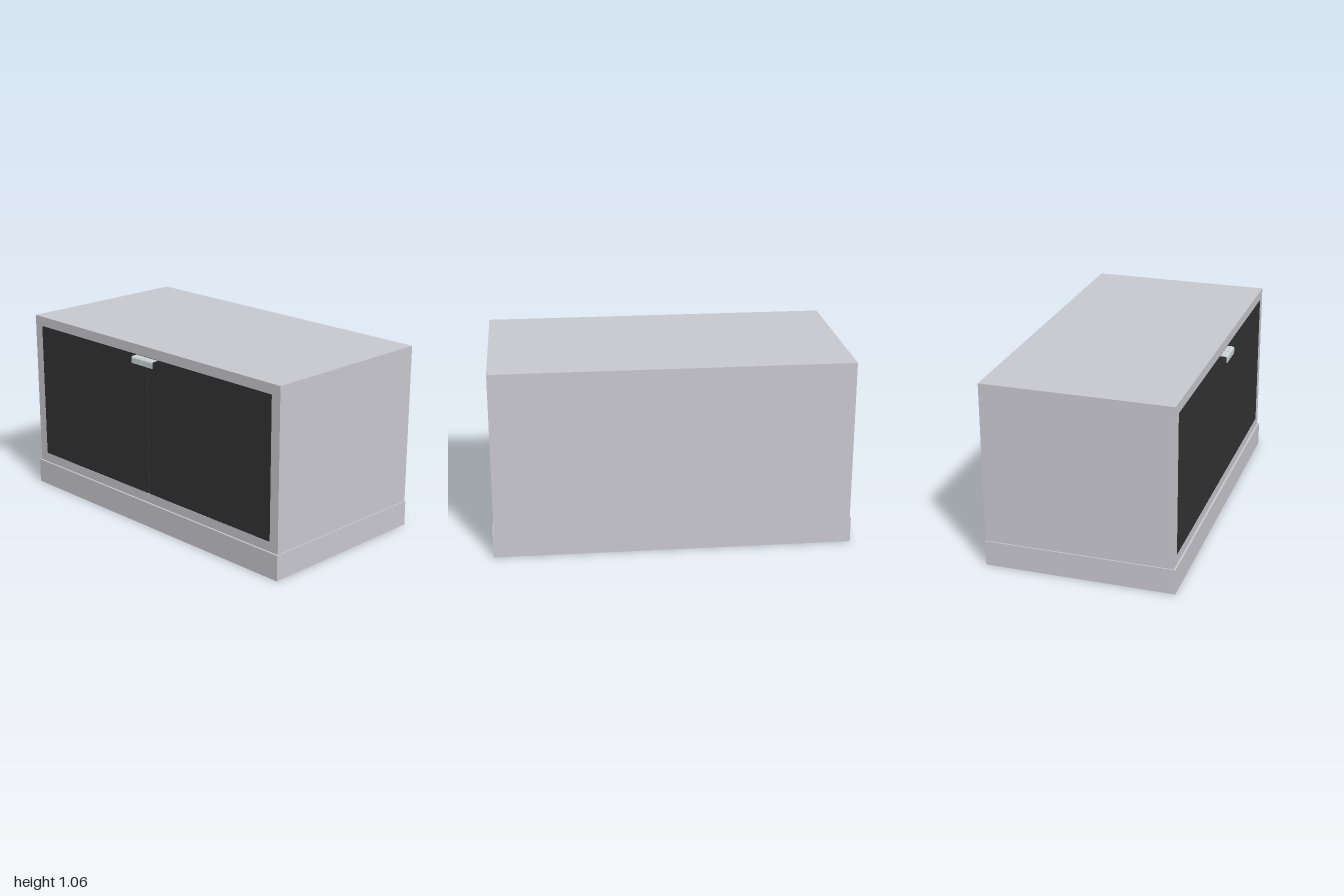
import * as THREE from 'three';

const mat = (name, color) => {
  const m = new THREE.MeshStandardMaterial({ color });
  m.name = name;
  return m;
};

// Rectangle with rounded corners
function roundedRect(x0, y0, x1, y1, r) {
  const s = new THREE.Shape();
  s.moveTo(x0 + r, y0);
  s.lineTo(x1 - r, y0);
  s.quadraticCurveTo(x1, y0, x1, y0 + r);
  s.lineTo(x1, y1 - r);
  s.quadraticCurveTo(x1, y1, x1 - r, y1);
  s.lineTo(x0 + r, y1);
  s.quadraticCurveTo(x0, y1, x0, y1 - r);
  s.lineTo(x0, y0 + r);
  s.quadraticCurveTo(x0, y0, x0 + r, y0);
  return s;
}

function rect(x0, y0, x1, y1, Type = THREE.Shape) {
  return new Type([[x0, y0], [x1, y0], [x1, y1], [x0, y1]].map(p => new THREE.Vector2(...p)));
}

export function createModel() {
  const model = new THREE.Group();
  model.name = 'cabinet';
  const grey = mat('casing grey', 0xc8c8cf);
  grey.side = THREE.DoubleSide; // the plinth walls are thin sheets
  const dark = mat('door charcoal', 0x323232);
  const metal = mat('handle metal', 0xcad4d4);

  const add = (name, geometry, material) => {
    const mesh = new THREE.Mesh(geometry, material);
    mesh.name = name;
    model.add(mesh);
    return mesh;
  };

  const back = -0.547, front = 0.509, plinthFront = 0.52;
  const plinthTop = 0.144, top = 1.058, halfWidth = 0.993;
  const doorDepth = 0.015, inset = front - doorDepth;

  // Casing behind the doors
  const casing = new THREE.BoxGeometry(halfWidth * 2, top - plinthTop, inset - back);
  casing.translate(0, (top + plinthTop) / 2, (inset + back) / 2);
  add('casing', casing, grey);

  // Front surround with the door opening
  const surroundShape = rect(-halfWidth, plinthTop, halfWidth, top);
  surroundShape.holes.push(rect(-0.935, 0.199, 0.935, 1.001, THREE.Path));
  const surround = new THREE.ExtrudeGeometry(surroundShape, { depth: doorDepth, bevelEnabled: false });
  surround.translate(0, 0, inset);
  add('frontSurround', surround, grey);

  // Hollow plinth: four sheet walls, open below
  const depth = plinthFront - back, midZ = (plinthFront + back) / 2;
  const walls = [
    ['plinthFront', 2, 0, 0, plinthFront],
    ['plinthBack', 2, Math.PI, 0, back],
    ['plinthLeft', depth, Math.PI / 2, 1, midZ],
    ['plinthRight', depth, -Math.PI / 2, -1, midZ],
  ];
  for (const [name, width, turn, x, z] of walls) {
    const wall = add(name, new THREE.PlaneGeometry(width, plinthTop), grey);
    wall.rotation.y = turn;
    wall.position.set(x, plinthTop / 2, z);
  }

  // Narrow ledge joining plinth and casing (shape y becomes -z)
  const ledgeShape = rect(-1, -plinthFront, 1, -back);
  ledgeShape.holes.push(rect(-halfWidth, -front, halfWidth, -back - 0.001, THREE.Path));
  const ledge = new THREE.ShapeGeometry(ledgeShape);
  ledge.rotateX(-Math.PI / 2);
  ledge.translate(0, plinthTop, 0);
  add('plinthLedge', ledge, grey);

  // Dark backing at the bottom of the slit between the doors
  const backing = new THREE.BoxGeometry(0.02, 0.8, 0.001);
  backing.translate(0, 0.6, inset + 0.0005);
  add('doorGap', backing, dark);

  // Pair of doors, flush with the surround
  for (const side of [-1, 1]) {
    const [x0, x1] = [side * 0.003, side * 0.9345].sort((a, b) => a - b);
    const shape = roundedRect(x0, 0.1995, x1, 1.0005, 0.006);
    const door = new THREE.ExtrudeGeometry(shape, { depth: doorDepth, bevelEnabled: false });
    door.translate(0, 0, inset);
    add(side > 0 ? 'leftDoor' : 'rightDoor', door, dark);
  }

  // Bent-sheet handles: hooked profile (x = distance forward) swept across each half
  const t = 0.003, reach = 0.04, r = 0.012, yTop = 0.999, yEnd = 0.96;
  const hook = new THREE.Shape();
  hook.moveTo(0, yTop - t);
  hook.lineTo(reach - r, yTop - t);
  hook.absarc(reach - r, yTop - r, r - t, Math.PI / 2, 0, true);
  hook.lineTo(reach - t, yEnd);
  hook.lineTo(reach, yEnd);
  hook.lineTo(reach, yTop - r);
  hook.absarc(reach - r, yTop - r, r, 0, Math.PI / 2, false);
  hook.lineTo(0, yTop);
  for (const side of [-1, 1]) {
    const handle = new THREE.ExtrudeGeometry(hook, { depth: 0.082, bevelEnabled: false, curveSegments: 6 });
    handle.translate(0, 0, -0.041);
    handle.rotateY(-Math.PI / 2);
    handle.translate(side * 0.043, 0, front);
    add(side > 0 ? 'leftHandle' : 'rightHandle', handle, metal);
  }

  return model;
}
